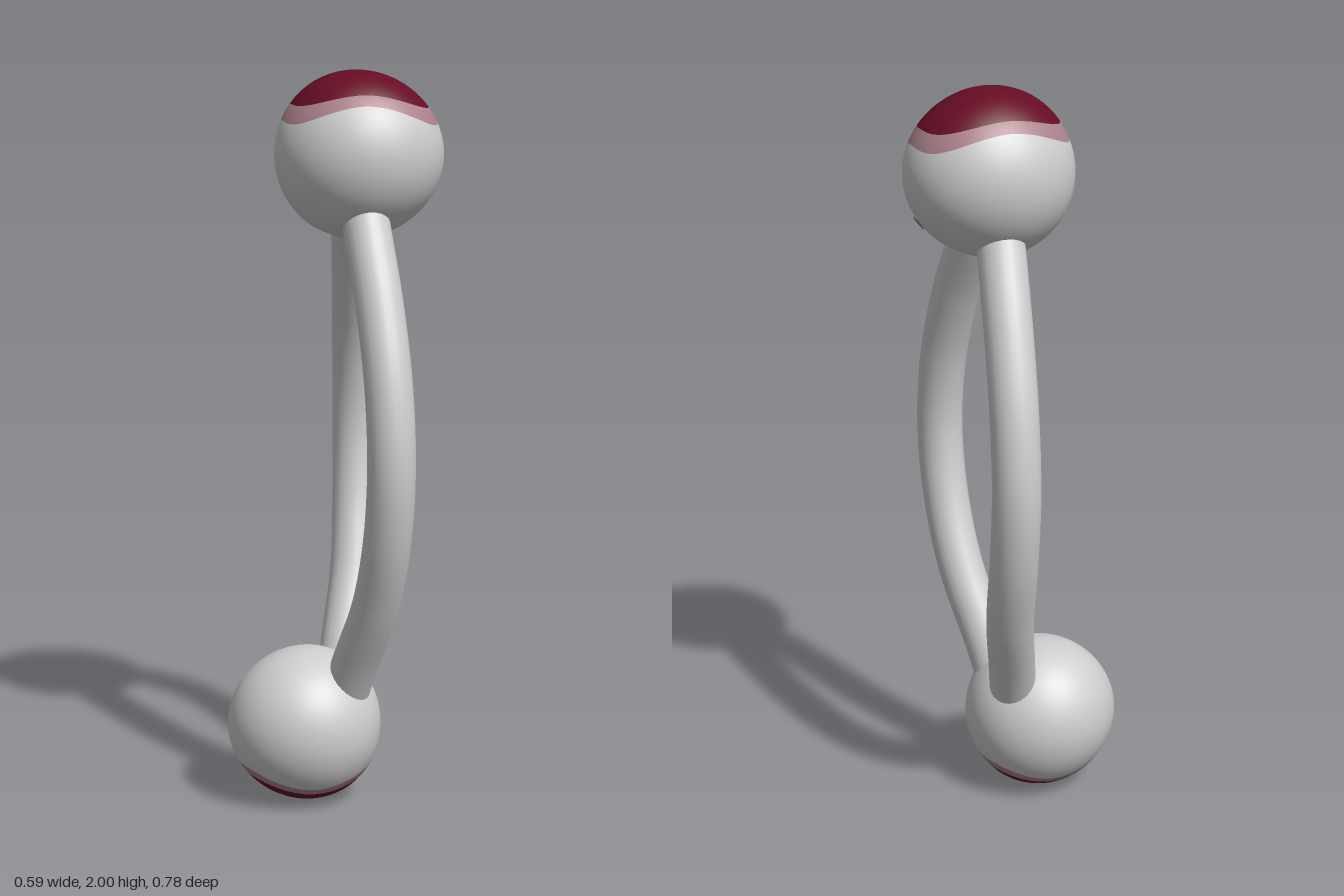
import * as THREE from 'three';

const paint = (name, color) => Object.assign(new THREE.MeshStandardMaterial({ color }), { name });

// Slightly egg-shaped ball: rows follow the cap outline so the colour bands have clean edges.
// Bands from the pole down: cap, rim, body.
function eggBall([rx, ry, rz], cap, rim) {
  const W = 72, CAP = 12, RIM = 3, H = 44;
  const geo = new THREE.SphereGeometry(1, W, H);
  const { position, normal } = geo.attributes;

  // Polar angle of a rounded-oval outline at a given azimuth
  const outline = ([a, b], phi) => Math.asin(
    Math.pow(Math.pow(Math.abs(Math.cos(phi) / a), 2.4) + Math.pow(Math.abs(Math.sin(phi) / b), 2.4), -1 / 2.4));

  const n = new THREE.Vector3();
  for (let row = 0; row <= H; row++) {
    for (let col = 0; col <= W; col++) {
      const i = row * (W + 1) + col;
      const phi = Math.PI - (col / W) * Math.PI * 2;
      const t1 = outline(cap, phi), t2 = outline(rim, phi);
      let t;
      if (row <= CAP) t = t1 * row / CAP;
      else if (row <= CAP + RIM) t = t1 + (t2 - t1) * (row - CAP) / RIM;
      else t = t2 + (Math.PI - t2) * (row - CAP - RIM) / (H - CAP - RIM);
      const x = Math.cos(phi) * Math.sin(t), y = Math.cos(t), z = Math.sin(phi) * Math.sin(t);
      position.setXYZ(i, rx * x, ry * y * (1 - 0.04 * x), rz * z * (1 - 0.06 * x));
      n.set(x / rx, y / ry, z / rz).normalize();
      normal.setXYZ(i, n.x, n.y, n.z);
    }
  }

  // The pole row has one triangle per column, the others two
  const capEnd = W * 3 + (CAP - 1) * W * 6;
  const rimEnd = capEnd + RIM * W * 6;
  geo.clearGroups();
  geo.addGroup(0, capEnd, 0);
  geo.addGroup(capEnd, rimEnd - capEnd, 1);
  geo.addGroup(rimEnd, geo.index.count - rimEnd, 2);
  return geo;
}

// Bowed rod of oval section, on the +z or -z side
function bowedRod(side) {
  const path = new THREE.CatmullRomCurve3([
    [0.01, 0.24, 0.03], [0.04, 0.4, 0.105], [0.083, 0.6, 0.208], [0.1, 0.8, 0.285], [0.104, 1, 0.315],
    [0.1, 1.2, 0.288], [0.088, 1.4, 0.213], [0.07, 1.6, 0.105], [0.06, 1.74, 0.03],
  ].map(([x, y, z]) => new THREE.Vector3(x, y, z * side)));
  const LENGTH = 64, AROUND = 24;
  const geo = new THREE.TubeGeometry(path, LENGTH, 0.063, AROUND);
  const p = geo.attributes.position;
  for (let i = 0; i <= LENGTH; i++) {
    const centre = path.getPointAt(i / LENGTH);
    for (let j = 0; j <= AROUND; j++) {
      const k = i * (AROUND + 1) + j;
      p.setZ(k, centre.z + (p.getZ(k) - centre.z) * 1.17);
    }
  }
  return geo;
}

export function createModel() {
  const group = new THREE.Group();
  const grey = paint('pale grey', 0xcdcdcd);
  const red = paint('dark red', 0x660c24);
  const pink = paint('dusty pink', 0xab838b);

  const add = (name, geometry, material) => {
    const mesh = new THREE.Mesh(geometry, material);
    mesh.name = name;
    group.add(mesh);
    return mesh;
  };

  // Balls: the lower one is turned over so its cap faces down
  const bands = [red, pink, grey];
  add('upperBall', eggBall([0.226, 0.222, 0.213], [0.81, 0.69], [0.916, 0.8]), bands)
    .position.set(0.067, 1.778, 0);
  const lower = add('lowerBall', eggBall([0.212, 0.213, 0.21], [0.78, 0.62], [0.873, 0.72]), bands);
  lower.position.set(-0.084, 0.213, 0);
  lower.rotation.z = Math.PI;

  // Pair of rods joining the balls
  add('frontRod', bowedRod(1), grey);
  add('backRod', bowedRod(-1), grey);

  // Small spot on the side of the upper ball
  const spot = add('spot', new THREE.CircleGeometry(0.03, 10), pink);
  spot.scale.y = 0.75;
  spot.position.set(0.257, 1.657, 0.005);
  spot.lookAt(0.257 + 0.82, 1.657 - 0.57, 0.005);

  return group;
}
